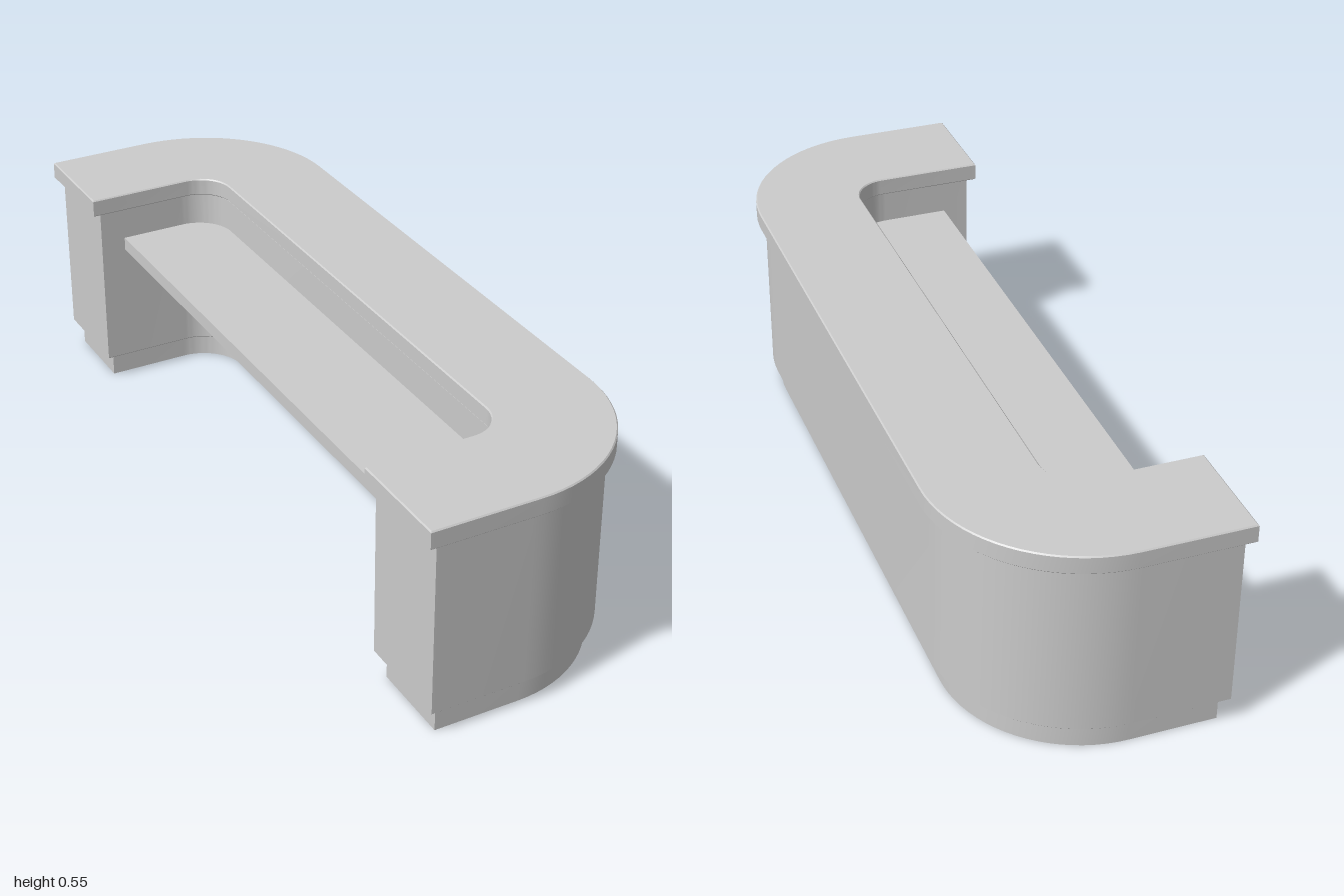
import * as THREE from 'three';
import { toCreasedNormals } from 'three/addons/utils/BufferGeometryUtils.js';

const material = new THREE.MeshStandardMaterial({ color: 0xcccccc });
const openMaterial = new THREE.MeshStandardMaterial({ color: 0xcccccc, side: THREE.DoubleSide });

const STEPS = 20; // segments per rounded corner
const CZ = 0.64;  // corner centres lie at z = +-CZ

// U-shaped plans: corner centre x, outer and inner corner radius, x of the open arm ends
const TOP = { cx: -0.048, outer: 0.36, inner: 0.087, end: -0.312 };
const BODY = { cx: -0.057, outer: 0.347, inner: 0.098, end: -0.29 };
const PLINTH = { cx: -0.058, outer: 0.327, inner: 0.119, end: -0.269 };

// Plan shrunk on all sides by inset, as a closed loop of (x, z) points
function outline({ cx, outer, inner, end }, inset = 0) {
  const ro = outer - inset, ri = inner + inset, xe = end + inset;
  const points = [];
  const arc = (cz, r, from, to) => {
    for (let i = 0; i <= STEPS; i++) {
      const a = (from + (to - from) * i / STEPS) * Math.PI / 2;
      points.push(new THREE.Vector2(cx + r * Math.cos(a), cz + r * Math.sin(a)));
    }
  };
  points.push(new THREE.Vector2(xe, -CZ - ro));
  arc(-CZ, ro, -1, 0);
  arc(CZ, ro, 0, 1);
  points.push(new THREE.Vector2(xe, CZ + ro), new THREE.Vector2(xe, CZ + ri));
  arc(CZ, ri, 1, 0);
  arc(-CZ, ri, 0, -1);
  points.push(new THREE.Vector2(xe, -CZ - ri));
  return points;
}

// Skin through a stack of levels, each [plan, inset, y], from bottom to top
function loft(name, levels) {
  const positions = [], index = [];
  const count = outline(TOP).length;
  levels.forEach(([plan, inset, y], level) => {
    outline(plan, inset).forEach((p, i) => {
      positions.push(p.x, y, p.y);
      if (level === 0) return;
      const next = (i + 1) % count, low = (level - 1) * count, high = level * count;
      index.push(low + i, high + i, low + next, low + next, high + i, high + next);
    });
  });
  const geo = new THREE.BufferGeometry();
  geo.setAttribute('position', new THREE.Float32BufferAttribute(positions, 3));
  geo.setIndex(index);
  const mesh = new THREE.Mesh(toCreasedNormals(geo, 0.5), openMaterial);
  mesh.name = name;
  return mesh;
}

export function createModel() {
  const group = new THREE.Group();
  group.name = 'counter';
  const b = 0.003; // softened edges

  // Hollow plinth, then the body with a lip overhanging it
  group.add(loft('plinth', [[PLINTH, 0, 0], [PLINTH, 0, 0.063]]));
  group.add(loft('body', [
    [PLINTH, 0, 0.063], [BODY, b, 0.063], [BODY, 0, 0.063 + b], [BODY, 0, 0.501],
  ]));

  // Countertop: underside lip, edge and flat surface, open to the hollow body below
  group.add(loft('countertopEdge', [
    [BODY, 0, 0.501], [TOP, b, 0.501], [TOP, 0, 0.501 + b],
    [TOP, 0, 0.547 - b], [TOP, b, 0.547],
  ]));
  const surface = new THREE.Mesh(
    new THREE.ShapeGeometry(new THREE.Shape(outline(TOP, b))).rotateX(-Math.PI / 2), openMaterial);
  surface.name = 'countertopSurface';
  surface.position.y = 0.547;
  group.add(surface);

  // Shelf between the arms, let into the body
  const shelf = new THREE.Mesh(new THREE.BoxGeometry(0.275, 0.035, 1.486), material);
  shelf.name = 'shelf';
  shelf.position.set(-0.0875, 0.398, 0);
  group.add(shelf);

  return group;
}
